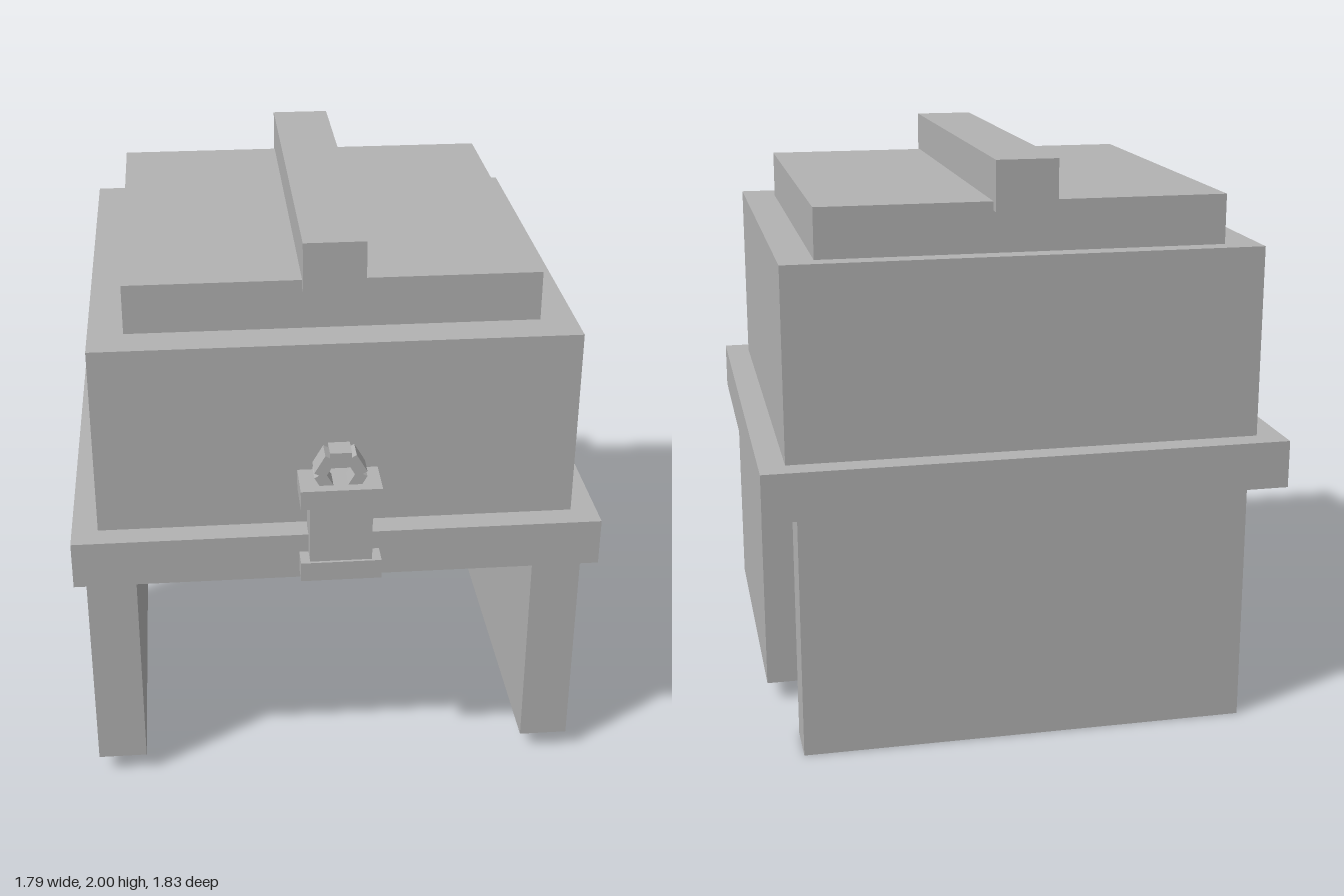
import * as THREE from 'three';

export function createModel() {
  const model = new THREE.Group();
  const grey = new THREE.MeshStandardMaterial({ color: 0xb2b2b2 });
  grey.name = 'plain grey';

  // Box given by its extents on each axis
  function block(name, [x0, x1], [y0, y1], [z0, z1], parent = model) {
    const mesh = new THREE.Mesh(new THREE.BoxGeometry(x1 - x0, y1 - y0, z1 - z0), grey);
    mesh.position.set((x0 + x1) / 2, (y0 + y1) / 2, (z0 + z1) / 2);
    mesh.name = name;
    parent.add(mesh);
    return mesh;
  }

  // Stacked body
  block('rim', [-0.896, 0.896], [0.87, 1.035], [-0.955, 0.8]);
  block('body', [-0.808, 0.808], [1.035, 1.693], [-0.871, 0.713]);
  block('lid', [-0.69, 0.69], [1.693, 1.862], [-0.803, 0.577]);
  block('topBar', [-0.104, 0.104], [1.832, 2], [-0.838, 0.608]);

  // Slab legs
  block('leftLeg', [0.69, 0.861], [0.07, 0.87], [-0.442, 0.699]);
  block('rightLeg', [-0.861, -0.69], [0.07, 0.87], [-0.442, 0.699]);
  block('backLeg', [-0.776, 0.776], [0, 0.87], [-0.885, -0.716]);

  // Tap on the front: post with two flanges
  const tap = new THREE.Group();
  tap.name = 'tap';
  model.add(tap);
  block('tapBase', [-0.135, 0.135], [0.9, 0.969], [0.724, 0.876], tap);
  block('tapPost', [-0.104, 0.104], [0.969, 1.175], [0.735, 0.866], tap);
  block('tapCollar', [-0.135, 0.135], [1.175, 1.242], [0.724, 0.876], tap);

  // Faceted ring handle made of overlapping bars
  const ring = new THREE.Group();
  ring.name = 'tapRing';
  ring.position.set(0, 1.28, 0.8);
  tap.add(ring);
  for (let i = 0; i < 6; i++) {
    const a = Math.PI / 6 + i * Math.PI / 3;
    const bar = block('ringBar', [-0.02, 0.02], [-0.036, 0.036], [-0.039, 0.039], ring);
    bar.position.set(0.06 * Math.cos(a), 0.06 * Math.sin(a), 0);
    bar.rotation.z = a;
  }
  return model;
}
